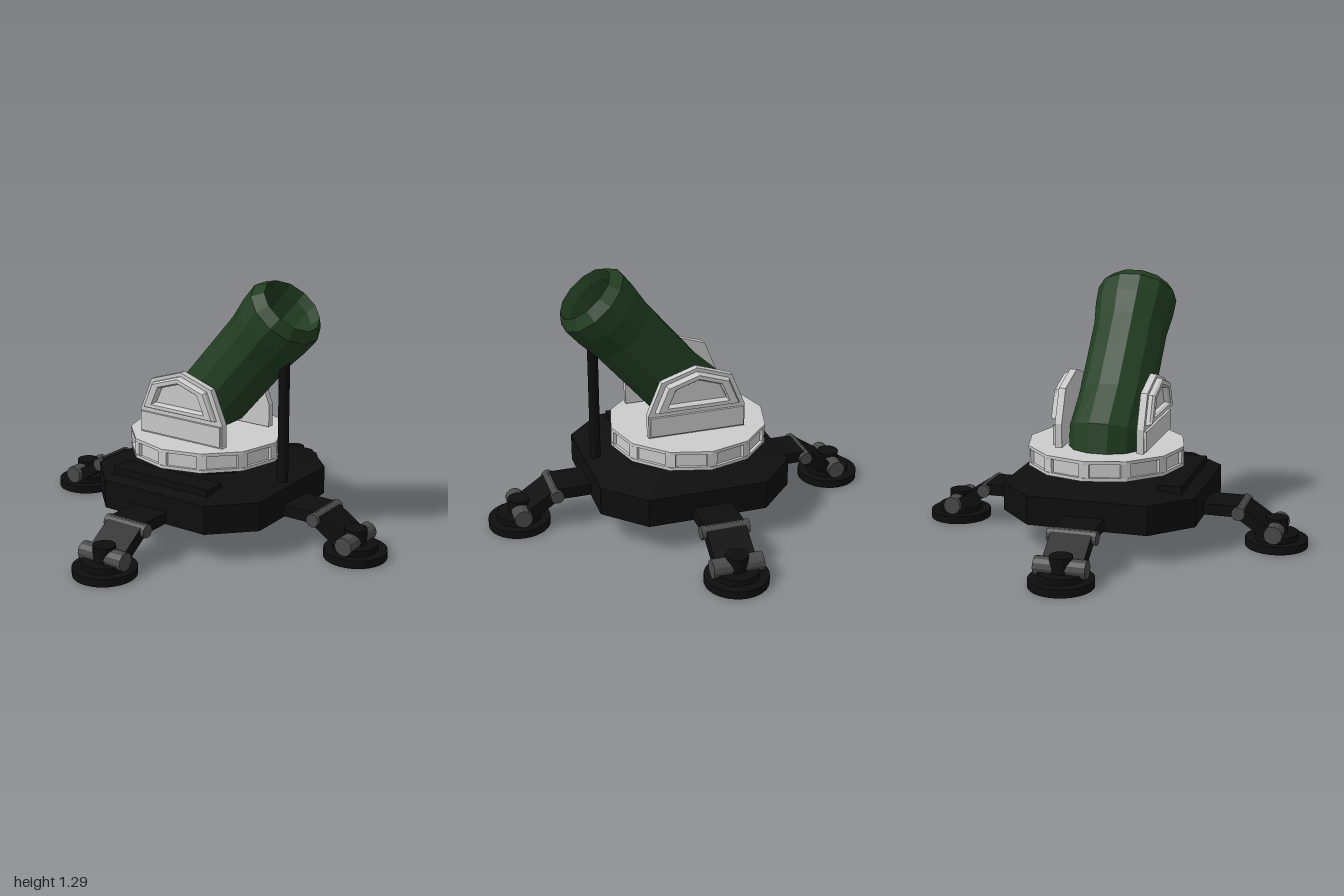
import * as THREE from 'three';

const mat = (color) => new THREE.MeshStandardMaterial({ color, flatShading: true });
const BLACK = mat(0x0e0e0e), DARK = mat(0x4a4a4a), GREEN = mat(0x22402a), GREY = mat(0xcccccc);
GREEN.color.set(0x223e22);

function add(parent, name, geometry, material, x = 0, y = 0, z = 0) {
  const mesh = new THREE.Mesh(geometry, material);
  mesh.name = name;
  mesh.position.set(x, y, z);
  parent.add(mesh);
  return mesh;
}

// Skin a list of equally long closed rings of [x, y, z] points
function loft(rings) {
  const n = rings[0].length, index = [];
  for (let i = 0; i < rings.length - 1; i++) {
    for (let j = 0; j < n; j++) {
      const a = i * n + j, b = i * n + (j + 1) % n;
      index.push(a, b, b + n, a, b + n, a + n);
    }
  }
  const g = new THREE.BufferGeometry();
  g.setAttribute('position', new THREE.Float32BufferAttribute(rings.flat(2), 3));
  g.setIndex(index);
  g.computeVertexNormals();
  return g;
}

const polygon = (pts) => new THREE.Shape(pts.map(([x, y]) => new THREE.Vector2(x, y)));

// Chamfered octagonal hull with sloping top and bottom
function makeBase() {
  const base = new THREE.Group();
  base.name = 'base';
  const octagon = [[0.3, 0.49], [0.49, 0.3], [0.49, -0.3], [0.3, -0.49],
    [-0.3, -0.49], [-0.49, -0.3], [-0.49, 0.3], [-0.3, 0.49]];
  const levels = [[0, 0.1], [0.62, 0.1], [1, 0.15], [1, 0.295], [0.62, 0.335], [0, 0.335]];
  add(base, 'hull', loft(levels.map(([s, y]) => octagon.map(([x, z]) => [x * s, y, z * s]))), BLACK);
  add(base, 'frontPanel', new THREE.BoxGeometry(0.57, 0.06, 0.12), BLACK, -0.015, 0.315, 0.36);
  add(base, 'collar', new THREE.CylinderGeometry(0.27, 0.25, 0.06, 12), BLACK, 0, 0.346, 0);
  return base;
}

// Leg reaching out along +x
function makeLeg() {
  const leg = new THREE.Group();
  leg.name = 'leg';
  const crossRod = (name, r, len, material, x, y) => {
    add(leg, name, new THREE.CylinderGeometry(r, r, len, 12), material, x, y).rotation.x = Math.PI / 2;
  };
  add(leg, 'upperArm', new THREE.BoxGeometry(0.25, 0.056, 0.2), BLACK, 0.545, 0.185);
  const lower = add(leg, 'lowerArm', new THREE.BoxGeometry(0.18, 0.06, 0.2), BLACK, 0.735, 0.135);
  lower.rotation.z = -0.59;
  crossRod('knee', 0.034, 0.24, DARK, 0.665, 0.18);
  crossRod('ankle', 0.046, 0.25, DARK, 0.84, 0.088);
  add(leg, 'anklePost', new THREE.CylinderGeometry(0.055, 0.055, 0.085, 16), BLACK, 0.84, 0.103);
  add(leg, 'footStep', new THREE.CylinderGeometry(0.11, 0.11, 0.035, 24), BLACK, 0.84, 0.053);
  add(leg, 'footPad', new THREE.CylinderGeometry(0.155, 0.155, 0.04, 32), BLACK, 0.84, 0.02);
  return leg;
}

// Twelve-sided turntable with recessed panels between corner posts
function makeTurntable() {
  const table = new THREE.Group();
  table.name = 'turntable';
  add(table, 'core', new THREE.CylinderGeometry(0.385, 0.385, 0.098, 12), GREY, 0, 0.425);
  for (const y of [0.383, 0.467]) {
    add(table, 'lip', new THREE.CylinderGeometry(0.4, 0.4, 0.016, 12), GREY, 0, y);
  }
  for (let i = 0; i < 12; i++) {
    const a = i * Math.PI / 6;
    const post = add(table, 'cornerPost', new THREE.BoxGeometry(0.05, 0.08, 0.024), GREY,
      Math.sin(a) * 0.382, 0.425, Math.cos(a) * 0.382);
    post.rotation.y = a;
  }
  table.position.set(-0.04, 0, -0.03);
  return table;
}

// Cheek plate facing +z, with a raised frame and a lower panel
function makeCheek() {
  const cheek = new THREE.Group();
  cheek.name = 'cheekPlate';
  const plate = polygon([[-0.248, 0.485], [0.248, 0.485], [0.248, 0.605], [0.18, 0.77], [0, 0.83], [-0.18, 0.77], [-0.248, 0.605]]);
  add(cheek, 'plate', new THREE.ExtrudeGeometry(plate, { depth: 0.035, bevelEnabled: false }), GREY, 0, 0, 0.19);
  const frame = polygon([[-0.21, 0.625], [0.21, 0.625], [0.155, 0.755], [0, 0.807], [-0.155, 0.755]]);
  frame.holes.push(polygon([[-0.155, 0.65], [0, 0.65], [0.155, 0.65], [0.115, 0.74], [0, 0.778], [-0.115, 0.74]]));
  add(cheek, 'raisedFrame', new THREE.ExtrudeGeometry(frame, { depth: 0.02, bevelEnabled: true,
    bevelThickness: 0.012, bevelSize: 0.008, bevelOffset: -0.004, bevelSegments: 1 }), GREY, 0, 0, 0.225);
  add(cheek, 'lowerPanel', new THREE.BoxGeometry(0.48, 0.1, 0.015), GREY, 0, 0.545, 0.23);
  return cheek;
}

// Barrel sections: centre x, y, axis angle in degrees, radius; the last ones run back down the bore
function makeBarrel() {
  const sections = [
    [-0.14, 0.475, 88, 0], [-0.14, 0.475, 88, 0.188], [-0.125, 0.56, 68, 0.188],
    [0.02, 0.67, 49, 0.188], [0.29, 0.985, 49, 0.19], [0.37, 1.08, 49, 0.205],
    [0.43, 1.15, 49, 0.207], [0.465, 1.188, 49, 0.165],
    [0.43, 1.147, 49, 0.15], [0.1, 0.765, 49, 0.145], [0.1, 0.765, 49, 0],
  ];
  return loft(sections.map(([x, y, deg, r]) => {
    const a = THREE.MathUtils.degToRad(deg);
    return Array.from({ length: 12 }, (_, j) => {
      const t = (j + 0.5) * Math.PI / 6, v = Math.cos(t) * r * 0.95;
      return [x - Math.sin(a) * v, y + Math.cos(a) * v, Math.sin(t) * r];
    });
  }));
}

export function createModel() {
  const model = new THREE.Group();
  model.name = 'mortar';
  model.add(makeBase(), makeTurntable());

  // Four legs, one to each side
  for (let i = 0; i < 4; i++) {
    const leg = makeLeg();
    leg.rotation.y = i * Math.PI / 2;
    if (i % 2) leg.position.x = -0.02;
    else leg.position.z = -0.01;
    model.add(leg);
  }

  // Cheek plates either side of the barrel
  for (const turn of [0, Math.PI]) {
    const cheek = makeCheek();
    cheek.position.x = -0.028;
    cheek.rotation.y = turn;
    model.add(cheek);
  }

  add(model, 'barrel', makeBarrel(), GREEN);
  add(model, 'supportPost', new THREE.CylinderGeometry(0.027, 0.027, 0.61, 12), BLACK, 0.433, 0.6, 0.01);
  return model;
}
